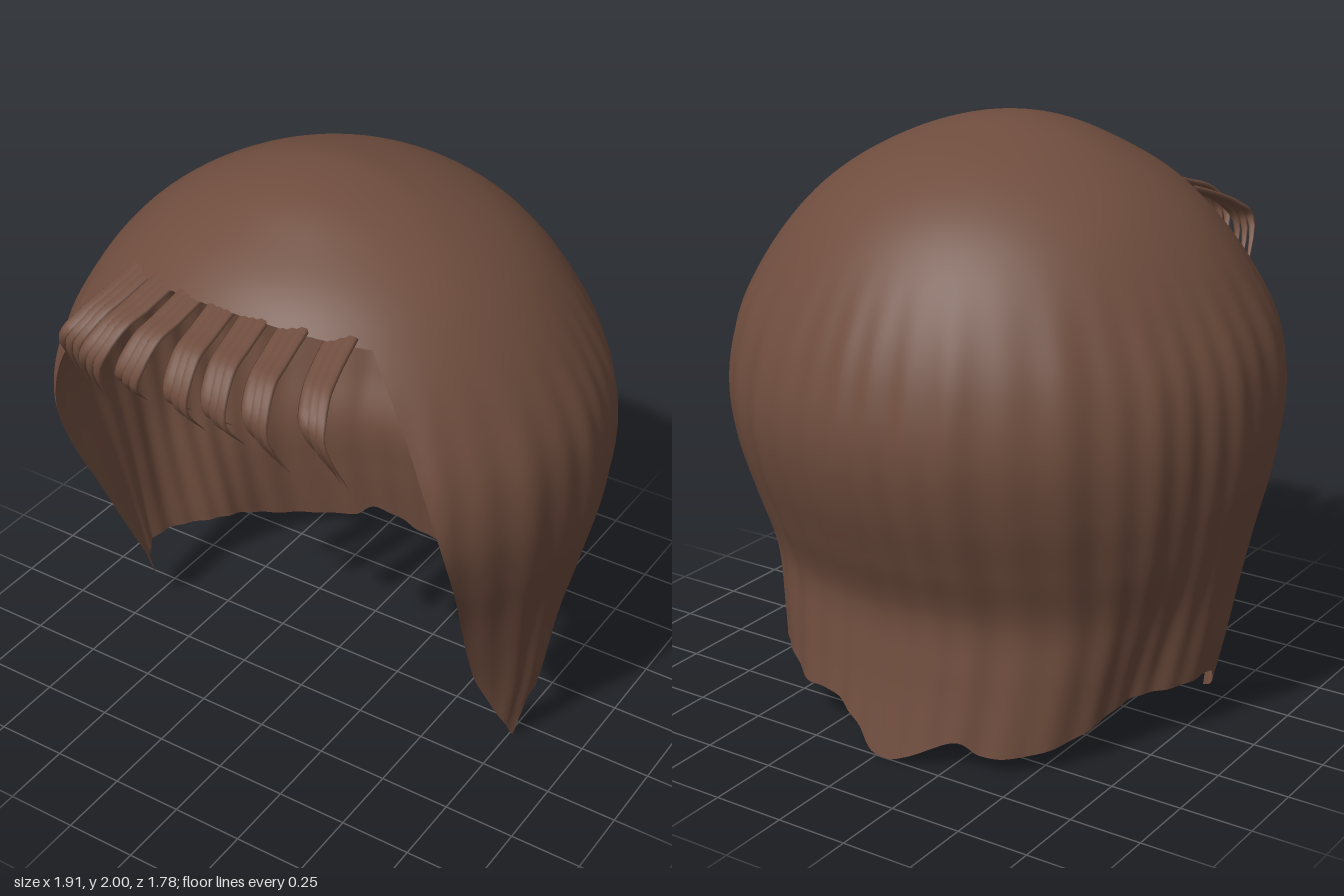
import * as THREE from 'three';

const N = 240, M = 80, DOME = 24, SKIRT = 50, ZC = 0.04, RIM = 1.7;
const { lerp, smoothstep, degToRad } = THREE.MathUtils;

// Heights are warped so that the crown rounds off smoothly
const warp = (y) => Math.sqrt(Math.max(0, 2 - y));
const smooth = (keys, values) => {
  const c = new THREE.CubicInterpolant(keys, values, 1);
  return (k) => c.evaluate(k)[0];
};

// Profile: height, half width, depth to the back, depth to the front
const PROFILE = [
  [2, 0, 0, 0], [1.97, 0.21, 0.19, 0.21], [1.9, 0.395, 0.4, 0.36], [1.8, 0.565, 0.57, 0.52],
  [1.7, 0.68, 0.68, 0.62], [1.5, 0.83, 0.82, 0.77], [1.3, 0.925, 0.9, 0.86], [1.1, 0.95, 0.93, 0.88],
  [0.9, 0.935, 0.89, 0.78], [0.7, 0.895, 0.81, 0.64], [0.5, 0.86, 0.73, 0.5],
  [0.3, 0.83, 0.745, 0.35], [0.1, 0.79, 0.78, 0.24], [0, 0.77, 0.8, 0.2],
];
const [width, back, front] = [1, 2, 3].map((k) =>
  smooth(PROFILE.map((p) => warp(p[0])), PROFILE.map((p) => p[k])));

// How far round from the back the hair reaches at each height (degrees)
const REACH = [
  [1.7, 139], [1.5, 134], [1.3, 131], [1.1, 128], [0.9, 126.5], [0.7, 125.3],
  [0.5, 124], [0.3, 121.5], [0.1, 110], [0, 98],
];
const reachDeg = smooth(REACH.map((p) => warp(p[0])), REACH.map((p) => p[1]));
const reach = (y) => degToRad(reachDeg(warp(y)));

// Ragged lower hem, from the right lock (-1) round the back to the left lock (1)
const HEM = [
  [-1, 0.1], [-0.93, 0.12], [-0.85, 0.17], [-0.78, 0.2], [-0.66, 0.19], [-0.54, 0.17], [-0.45, 0.1], [-0.35, 0.06],
  [-0.25, 0.06], [-0.19, 0.1], [-0.14, 0.07], [-0.08, 0.02], [0, 0.01], [0.065, 0.1], [0.13, 0.15], [0.23, 0.14],
  [0.35, 0.18], [0.48, 0.16], [0.54, 0.12], [0.6, 0.09], [0.66, 0.14], [0.74, 0.2], [0.85, 0.12], [0.93, 0.05], [1, 0],
];
const hem = smooth(HEM.map((p) => p[0]), HEM.map((p) => p[1]));

// Point of the shell at an angle from the back; relief scales it in and out
function shellPoint(angle, y, relief = 0) {
  const u = warp(y), c = Math.cos(angle), k = 1 + relief;
  return [k * width(u) * Math.sin(angle), y, ZC - k * c * (c > 0 ? back(u) : front(u))];
}

// Soft vertical waves, and a dent behind each side lock near the hem
function reliefAt(angle, y) {
  const fade = smoothstep(RIM - y, 0, 0.45);
  const waves = 0.0045 * Math.sin(41 * angle + 2 * Math.sin(5 * angle)) + 0.004 * Math.sin(17 * angle + y);
  const dent = Math.exp(-(((Math.abs(angle) - 1.15) / 0.25) ** 2)) * (1 - smoothstep(y, 0.2, 0.75));
  return fade * waves - 0.09 * dent;
}

function toGeometry(pos, index) {
  const g = new THREE.BufferGeometry();
  g.setAttribute('position', new THREE.Float32BufferAttribute(pos, 3));
  g.setIndex(index);
  g.computeVertexNormals();
  return g;
}

function makeShell() {
  const pos = [], index = [], cols = N + M;
  const quad = (a, b, c, d) => index.push(a, b, c, b, d, c);
  const a0 = reach(RIM);
  // Closed dome from the crown to the hairline
  for (let r = 0; r <= DOME; r++) {
    for (let i = 0; i < cols; i++) {
      const f = (i - N) / M;
      const angle = i <= N ? a0 * (2 * i / N - 1) : a0 + f * 2 * (Math.PI - a0);
      const end = i <= N ? RIM : RIM + 0.045 * Math.sin(Math.PI * f);
      const u = warp(end) * Math.max(r / DOME, 0.001);
      pos.push(...shellPoint(angle, 2 - u * u));
      if (r < DOME) {
        const j = (i + 1) % cols, p = r * cols;
        quad(p + i, p + j, p + cols + i, p + cols + j);
      }
    }
  }
  // Open skirt: back and side locks, sharing the last dome row
  const rim = DOME * cols, start = pos.length / 3;
  for (let r = 1; r <= SKIRT; r++) {
    const above = r === 1 ? rim : start + (r - 2) * (N + 1);
    const row = start + (r - 1) * (N + 1);
    for (let i = 0; i <= N; i++) {
      const s = 2 * i / N - 1;
      const y = lerp(RIM, hem(s), r / SKIRT);
      const angle = s * reach(y);
      pos.push(...shellPoint(angle, y, reliefAt(angle, y)));
      if (i < N) quad(above + i, above + i + 1, row + i, row + i + 1);
    }
  }
  return toGeometry(pos, index);
}

// Flattened strand swept along a path, tapering to a point
function makeStrand(points, w, thick) {
  const curve = new THREE.CatmullRomCurve3(points.map((p) => new THREE.Vector3(...p)));
  const pos = [], index = [], steps = 20, sides = 8;
  for (let r = 0; r <= steps; r++) {
    const t = r / steps, p = curve.getPoint(t), tan = curve.getTangent(t);
    const normal = new THREE.Vector3().crossVectors(tan, new THREE.Vector3(1, 0, 0)).normalize();
    const across = new THREE.Vector3().crossVectors(normal, tan);
    const taper = t < 0.65 ? 1 - 0.2 * t : 0.85 * (1 - (t - 0.65) / 0.35) + 0.02;
    for (let k = 0; k < sides; k++) {
      const a = 2 * Math.PI * k / sides;
      const q = p.clone().addScaledVector(across, Math.cos(a) * w * taper / 2)
        .addScaledVector(normal, Math.sin(a) * thick * taper / 2);
      pos.push(q.x, q.y, q.z);
      if (r < steps) {
        const b = r * sides, j = (k + 1) % sides;
        index.push(b + k, b + j, b + sides + k, b + j, b + sides + j, b + sides + k);
      }
    }
  }
  return toGeometry(pos, index);
}

export function createModel() {
  const model = new THREE.Group();
  model.name = 'hair';
  const brown = new THREE.MeshStandardMaterial({ color: 0x6f4d3e, side: THREE.DoubleSide });
  brown.name = 'brown hair';

  const shell = new THREE.Mesh(makeShell(), brown);
  shell.name = 'hairShell';
  model.add(shell);

  // Fringe: root x, tip x, tip height, furthest z
  const fringe = [
    [-0.4, -0.53, 1.34, 0.78], [-0.28, -0.4, 1.35, 0.84], [-0.15, -0.23, 1.43, 0.865], [-0.03, 0, 1.41, 0.88],
    [0.085, 0.15, 1.41, 0.88], [0.21, 0.3, 1.36, 0.87], [0.35, 0.47, 1.33, 0.81],
  ];
  fringe.forEach(([x0, x1, tipY, far], n) => {
    const lock = new THREE.Group();
    lock.name = `fringeLock${n + 1}`;
    const rootZ = 0.59 - 0.35 * x0 * x0, rootY = 1.755 - 0.25 * x0 * x0;
    for (const k of [-1, 0, 1]) {
      const x = (t) => lerp(x0, x1, t) + k * 0.027;
      const strand = new THREE.Mesh(makeStrand([
        [x(0), rootY, rootZ - 0.03],
        [x(0.2), rootY - 0.045, lerp(rootZ, far, 0.4)],
        [x(0.4), rootY - 0.08, far - 0.07],
        [x(0.7), 1.56 - 0.01 * k, far],
        [x(1) + 0.012 * k, tipY + 0.03 * Math.abs(k - 0.4), far - 0.1 + 0.02 * k],
      ], 0.05, 0.022), brown);
      strand.name = 'fringeStrand';
      lock.add(strand);
    }
    model.add(lock);
  });
  return model;
}
